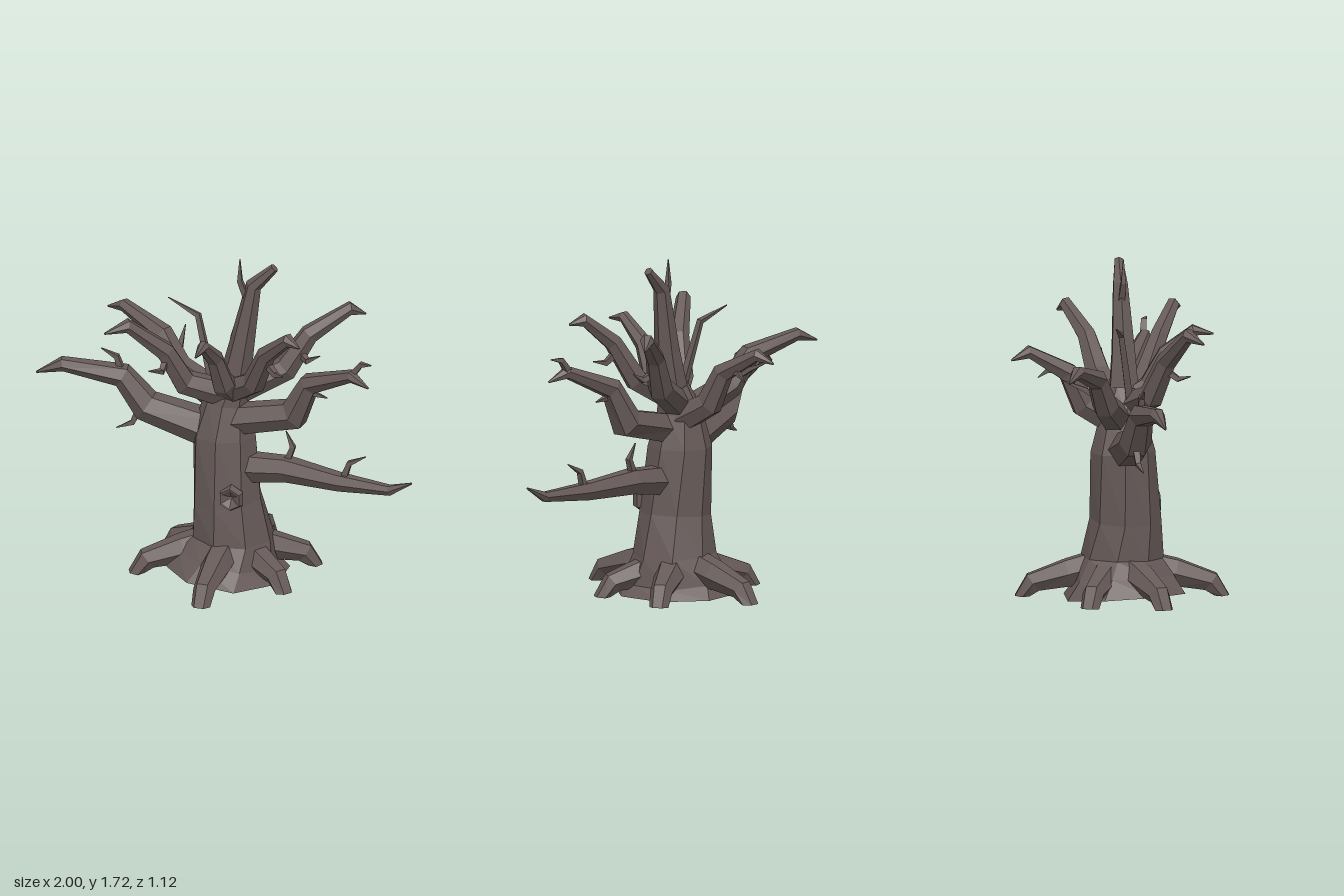
import * as THREE from 'three';

const bark = new THREE.MeshStandardMaterial({ color: 0x665a58, flatShading: true });
bark.name = 'bark';

// Faceted limb swept through points [x, y, z, radius], kept above the ground
function limbGeometry(points, sides, twist = 0) {
  const centres = points.map(p => new THREE.Vector3(p[0], p[1], p[2]));
  const last = centres.length - 1;
  const positions = [], index = [];
  let u = null;
  centres.forEach((c, i) => {
    const before = c.clone().sub(centres[Math.max(i - 1, 0)]).normalize();
    const after = centres[Math.min(i + 1, last)].clone().sub(c).normalize();
    const t = before.clone().add(after).normalize();
    if (!u) u = Math.abs(t.y) > 0.8 ? new THREE.Vector3(0, 0, 1) : new THREE.Vector3(0, 1, 0);
    u = u.clone().addScaledVector(t, -u.dot(t)).normalize();
    const v = t.clone().cross(u);
    // widen the ring at bends so the limb keeps its thickness
    const r = points[i][3] / Math.max(0.8, t.dot(i === last ? before : after));
    for (let j = 0; j < sides; j++) {
      const a = ((j + 0.5) / sides) * Math.PI * 2 + twist * i;
      const p = c.clone().addScaledVector(u, Math.cos(a) * r).addScaledVector(v, Math.sin(a) * r);
      positions.push(p.x, Math.max(0, p.y), p.z);
    }
  });
  for (let i = 0; i < last; i++) {
    for (let j = 0; j < sides; j++) {
      const k = (j + 1) % sides;
      const a = i * sides + j, b = i * sides + k;
      index.push(a, b, a + sides, b, b + sides, a + sides);
    }
  }
  // end caps
  const end = last * sides;
  for (let j = 1; j < sides - 1; j++) {
    index.push(0, j + 1, j, end, end + j, end + j + 1);
  }
  const g = new THREE.BufferGeometry();
  g.setAttribute('position', new THREE.Float32BufferAttribute(positions, 3));
  g.setIndex(index);
  const flat = g.toNonIndexed();
  flat.computeVertexNormals();
  return flat;
}

function addLimb(group, name, points, sides, twist) {
  const mesh = new THREE.Mesh(limbGeometry(points, sides, twist), bark);
  mesh.name = name;
  group.add(mesh);
}

const branches = {
  lowerRightBranch: [[-0.06, 0.75, 0.03, 0.105], [-0.45, 0.86, 0.05, 0.08], [-0.57, 1.02, 0.07, 0.06], [-0.87, 1.07, 0.13, 0.038], [-1, 1.02, 0.16, 0.005]],
  lowLeftBranch: [[0.03, 0.58, 0.04, 0.085], [0.3, 0.61, 0.07, 0.07], [0.6, 0.6, 0.13, 0.05], [0.88, 0.61, 0.18, 0.028], [1, 0.67, 0.2, 0.005]],
  middleLeftBranch: [[0, 0.84, 0.05, 0.085], [0.34, 0.92, 0.07, 0.077], [0.43, 1.11, 0.1, 0.055], [0.68, 1.22, 0.19, 0.033], [0.78, 1.18, 0.23, 0.005]],
  backLeftBranch: [[0, 0.97, 0, 0.075], [0.25, 1.1, -0.08, 0.065], [0.36, 1.28, -0.13, 0.05], [0.55, 1.41, -0.22, 0.032], [0.62, 1.37, -0.26, 0.005]],
  frontLeftBranch: [[0, 1, 0.05, 0.07], [0.15, 1.1, 0.15, 0.06], [0.24, 1.3, 0.23, 0.048], [0.38, 1.43, 0.31, 0.032], [0.45, 1.41, 0.35, 0.005]],
  frontRightBranch: [[0, 0.97, 0.04, 0.075], [-0.22, 1.06, 0.15, 0.063], [-0.3, 1.25, 0.22, 0.052], [-0.47, 1.41, 0.32, 0.034], [-0.57, 1.38, 0.39, 0.005]],
  backRightBranch: [[-0.03, 0.9, 0, 0.085], [-0.32, 1.03, -0.09, 0.067], [-0.42, 1.18, -0.14, 0.053], [-0.66, 1.26, -0.26, 0.033], [-0.76, 1.22, -0.31, 0.005]],
  backBranch: [[-0.01, 0.9, -0.02, 0.08], [-0.03, 0.99, -0.18, 0.067], [-0.04, 1.16, -0.26, 0.053], [-0.06, 1.27, -0.46, 0.032], [-0.08, 1.23, -0.55, 0.005]],
  frontBranch: [[0, 0.99, 0.04, 0.07], [-0.01, 1.08, 0.16, 0.06], [-0.03, 1.25, 0.24, 0.045], [-0.05, 1.37, 0.38, 0.028], [-0.06, 1.35, 0.48, 0.005]],
  crownBranch: [[0, 0.98, 0.03, 0.09], [0.05, 1.25, 0.03, 0.066], [0.11, 1.58, 0.02, 0.04], [0.22, 1.69, 0.02, 0.023]],
};

// Twig paths; the radius tapers along each
const twigs = [
  [[-0.48, 0.85, 0.05], [-0.52, 0.76, 0.06], [-0.6, 0.73, 0.08]],
  [[-0.57, 1.03, 0.07], [-0.6, 1.12, 0.07], [-0.68, 1.16, 0.08]],
  [[0.29, 0.63, 0.06], [0.33, 0.73, 0.06], [0.29, 0.81, 0.05]],
  [[0.61, 0.6, 0.13], [0.65, 0.71, 0.13], [0.74, 0.76, 0.14]],
  [[0.66, 1.2, 0.18], [0.73, 1.29, 0.19], [0.79, 1.3, 0.21]],
  [[0.42, 1.12, 0.1], [0.46, 1.06, 0.11], [0.53, 1.05, 0.12]],
  [[0.09, 1.47, 0.02], [0.04, 1.6, 0.03], [0.04, 1.72, 0.03]],
  [[-0.1, 1.03, 0.05], [-0.19, 1.37, 0], [-0.36, 1.43, -0.04]],
  [[-0.33, 1.06, -0.1], [-0.34, 1.12, -0.2], [-0.35, 1.17, -0.31]],
  [[0.31, 1.2, -0.1], [0.37, 1.16, -0.06], [0.44, 1.2, -0.05]],
  [[0.22, 1.26, 0.21], [0.29, 1.2, 0.24], [0.34, 1.21, 0.28]],
  [[-0.29, 1.22, 0.2], [-0.3, 1.16, 0.28], [-0.35, 1.18, 0.34]],
  [[-0.04, 1.17, -0.28], [-0.03, 1.17, -0.36], [-0.02, 1.13, -0.41]],
];

// Root ends on the ground [x, z]
const rootEnds = [[-0.02, 0.56], [0.04, -0.52], [0.36, 0.25], [0.41, -0.18], [-0.49, 0.21], [-0.42, -0.19]];

export function createModel() {
  const tree = new THREE.Group();
  tree.name = 'bareTree';

  addLimb(tree, 'trunk', [
    [-0.03, 0, 0.03, 0.325], [-0.02, 0.09, 0.025, 0.265], [0, 0.2, 0.02, 0.21], [-0.025, 0.4, 0.035, 0.182],
    [-0.045, 0.75, 0.02, 0.165], [-0.035, 0.94, 0.02, 0.115], [0, 1.06, 0.03, 0.08],
  ], 8, 0.1);

  for (const [name, points] of Object.entries(branches)) addLimb(tree, name, points, 6);

  const radii = [0.026, 0.017, 0.003];
  twigs.forEach((path, i) =>
    addLimb(tree, 'twig' + (i + 1), path.map((p, j) => [...p, radii[j]]), 4));

  // arched roots spreading from the trunk foot
  rootEnds.forEach(([x, z], i) => {
    const len = Math.hypot(x, z), dx = x / len, dz = z / len;
    const at = (d, y, r) => [dx * d, y, dz * d, r];
    addLimb(tree, 'root' + (i + 1),
      [at(0.1, 0.16, 0.085), at(len - 0.27, 0.12, 0.078), at(len - 0.09, 0.07, 0.054), at(len - 0.035, -0.02, 0.05)], 6);
  });

  // hollow knot on the front of the trunk
  const profile = [[0.055, 0], [0.072, 0.03], [0.058, 0.066], [0.048, 0.064], [0, 0.03]]
    .map(p => new THREE.Vector2(p[0], p[1]));
  const knot = new THREE.Mesh(new THREE.LatheGeometry(profile, 6), bark);
  knot.name = 'knot';
  knot.rotation.x = Math.PI / 2;
  knot.position.set(0.04, 0.465, 0.15);
  tree.add(knot);

  return tree;
}
